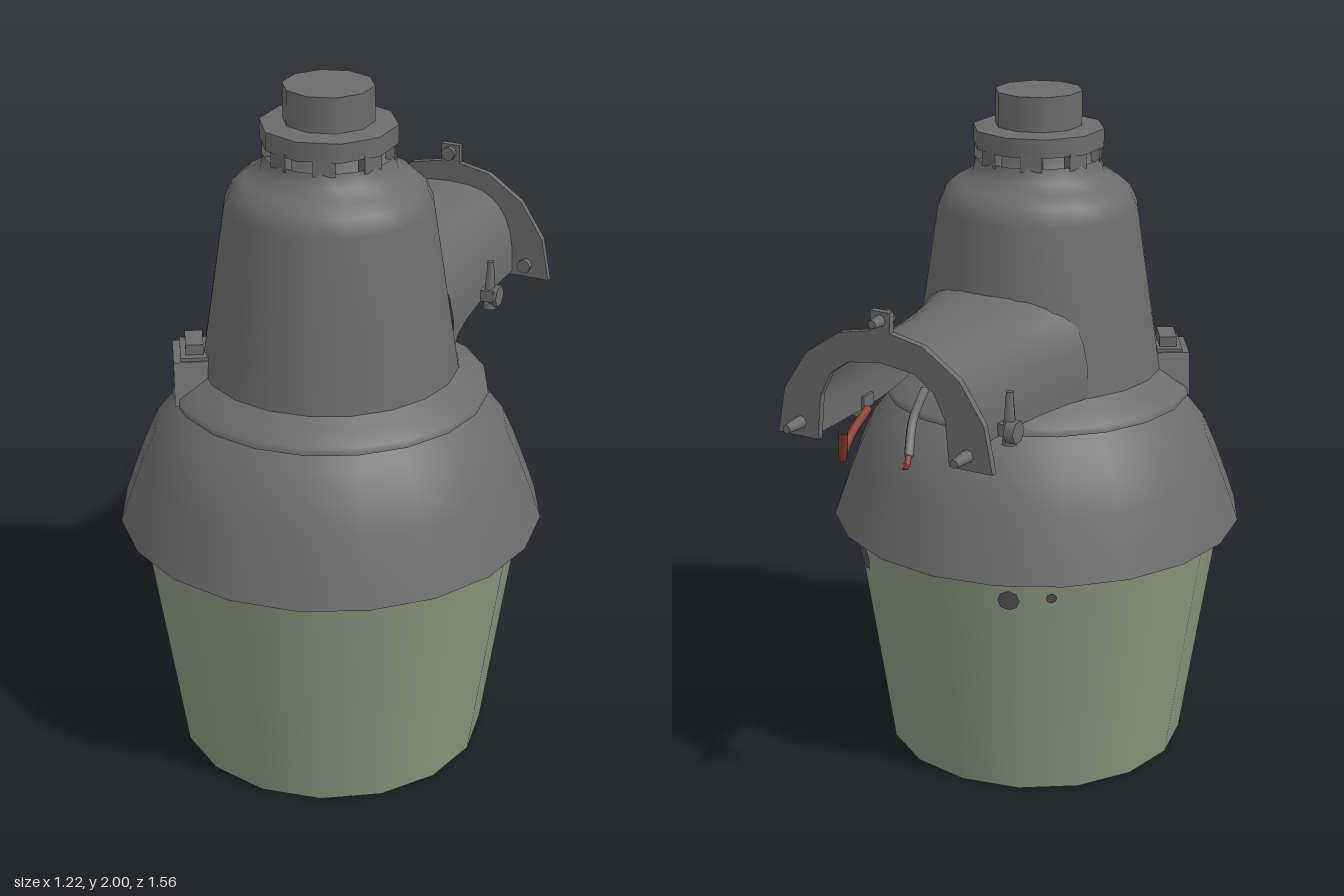
import * as THREE from 'three';
import { ParametricGeometry } from 'three/addons/geometries/ParametricGeometry.js';

const mat = (name, color, side = THREE.FrontSide) => {
  const m = new THREE.MeshStandardMaterial({ color, side });
  m.name = name;
  return m;
};

export function createModel() {
  const root = new THREE.Group();
  root.name = 'yardLight';
  const metal = mat('greyMetal', 0x6c6c6c, THREE.DoubleSide);
  const glass = mat('greenGlass', 0x8c987e, THREE.DoubleSide);
  const stain = mat('darkSpot', 0x505250, THREE.DoubleSide);
  const red = mat('redWire', 0x8a3d30);

  const add = (parent, name, geo, material, x = 0, y = 0, z = 0) => {
    const mesh = new THREE.Mesh(geo, material);
    mesh.name = name;
    mesh.position.set(x, y, z);
    parent.add(mesh);
    return mesh;
  };

  // Everything turned about the vertical lamp axis
  const lamp = new THREE.Group();
  lamp.name = 'lamp';
  lamp.position.z = 0.17;
  root.add(lamp);
  const turned = (name, pts, sides, material = metal) =>
    add(lamp, name, new THREE.LatheGeometry(pts.map(p => new THREE.Vector2(...p)), sides), material);

  turned('shade', [[0.45, 0.005], [0.503, 0.37], [0.557, 0.735]], 16, glass);
  turned('domeRim', [[0.545, 0.725], [0.61, 0.73]], 20);
  turned('dome', [[0.61, 0.73], [0.582, 0.81], [0.545, 0.91], [0.505, 1.0], [0.45, 1.07], [0.4, 1.12]], 20);
  turned('collarUnderside', [[0.38, 1.112], [0.45, 1.115]], 20);
  turned('collar', [[0.45, 1.115], [0.447, 1.135], [0.4, 1.165], [0.365, 1.19]], 20);
  turned('body', [[0.365, 1.185], [0.327, 1.43], [0.29, 1.67], [0.27, 1.715], [0.235, 1.745],
    [0.19, 1.77], [0.18, 1.81]], 20);
  turned('neck', [[0.18, 1.8], [0.15, 1.805], [0.15, 1.87]], 12);
  turned('capUnderside', [[0.14, 1.842], [0.19, 1.842]], 10);
  turned('cap', [[0.19, 1.842], [0.19, 1.895]], 10);
  turned('capTop', [[0.19, 1.895], [0.12, 1.902]], 10);
  turned('sensor', [[0.126, 1.89], [0.126, 2.0]], 10);
  turned('sensorTop', [[0.126, 2.0], [0, 2.0]], 10);

  // Teeth below the cap
  for (let i = 0; i < 8; i++) {
    const a = (i + 0.5) * Math.PI / 4;
    const t = add(lamp, 'capTooth', new THREE.BoxGeometry(0.06, 0.05, 0.025), metal,
      Math.sin(a) * 0.167, 1.825, Math.cos(a) * 0.167);
    t.rotation.y = a;
  }

  // Latch block on the collar
  const latch = new THREE.Group();
  latch.name = 'latch';
  latch.position.set(-0.325, 0, 0.2);
  latch.rotation.y = Math.atan2(-0.325, 0.2);
  lamp.add(latch);
  const wedge = new THREE.BoxGeometry(0.22, 0.12, 0.13);
  const wp = wedge.attributes.position;
  for (let i = 0; i < wp.count; i++) if (wp.getY(i) > 0) wp.setX(i, wp.getX(i) * 0.7);
  wedge.computeVertexNormals();
  add(latch, 'latchBase', wedge, metal, 0, 1.175, -0.005);
  add(latch, 'latchBlock', new THREE.BoxGeometry(0.145, 0.05, 0.08), metal, 0, 1.22, 0);
  add(latch, 'latchButton', new THREE.BoxGeometry(0.1, 0.04, 0.05), metal, 0, 1.255, 0);

  // Spots on the glass: angle from back towards +x, height, radius
  for (const [a, y, r] of [[0.69, 0.65, 0.047], [-0.36, 0.66, 0.032], [-0.58, 0.67, 0.016]]) {
    const rad = 0.45 + 0.107 * (y / 0.73) + 0.003;
    const s = add(lamp, 'glassSpot', new THREE.CircleGeometry(r, 8), stain,
      Math.sin(a) * rad, y, -Math.cos(a) * rad);
    s.rotation.order = 'YXZ';
    s.rotation.y = Math.PI - a;
    s.rotation.x = 0.146;
  }

  // Arched mounting arm, open below and flared where it meets the body
  const baseY = 1.19;
  const bow = t => Math.sign(t) * Math.pow(Math.abs(t), 0.72);
  add(root, 'arm', new ParametricGeometry((u, v, out) => {
    const a = Math.PI * u;
    const z = -0.05 - 0.61 * v;
    const flare = Math.pow(1 - v, 3);
    out.set((0.215 + 0.07 * flare) * bow(Math.cos(a)), baseY + (0.262 + 0.04 * flare) * bow(Math.sin(a)), z);
  }, 16, 6), metal);

  // Arched flange at the end of the arm
  const arch = new THREE.Shape();
  const ring = [];
  for (let i = 0; i <= 8; i++) {
    const a = Math.PI * i / 8;
    ring.push([0.335 * Math.cos(a), 1.18 + 0.34 * Math.sin(a)]);
  }
  for (let i = 8; i >= 0; i--) {
    const a = Math.PI * i / 8;
    ring.push([0.205 * bow(Math.cos(a)), 1.18 + 0.25 * bow(Math.sin(a))]);
  }
  ring.forEach(([x, y], i) => (i ? arch.lineTo(x, y) : arch.moveTo(x, y)));
  add(root, 'flange', new THREE.ExtrudeGeometry(arch, { depth: 0.02, bevelEnabled: false }),
    metal, 0, 0, -0.677);
  add(root, 'flangeLug', new THREE.BoxGeometry(0.06, 0.08, 0.02), metal, 0, 1.53, -0.667);

  // Studs through the flange
  const stud = (x, y, z, length) => {
    const m = add(root, 'flangeStud', new THREE.CylinderGeometry(0.012, 0.022, length, 8), metal, x, y, z);
    m.rotation.x = -Math.PI / 2;
  };
  stud(0, 1.545, -0.675, 0.08);
  for (const s of [-1, 1]) {
    stud(s * 0.26, 1.22, -0.69, 0.11);
    // Clamp screws on the arm sides
    add(root, 'clampTab', new THREE.BoxGeometry(0.05, 0.035, 0.05), metal, s * 0.235, 1.21, -0.42);
    add(root, 'clampScrew', new THREE.CylinderGeometry(0.01, 0.022, 0.15, 8), metal, s * 0.24, 1.24, -0.42);
    const nut = add(root, 'clampNut', new THREE.CylinderGeometry(0.033, 0.033, 0.03, 6), metal, s * 0.255, 1.205, -0.425);
    nut.rotation.z = Math.PI / 2;
  }

  // Loose wires hanging out of the arm
  const wire = (name, pts, r, material) => add(root, name, new THREE.TubeGeometry(
    new THREE.CatmullRomCurve3(pts.map(p => new THREE.Vector3(...p))), 12, r, 6), material);
  wire('redWire', [[0.16, 1.22, -0.5], [0.15, 1.18, -0.6], [0.13, 1.15, -0.67], [0.09, 1.17, -0.73], [0.06, 1.26, -0.77]], 0.013, red);
  wire('greyWire', [[-0.06, 1.33, -0.56], [-0.09, 1.28, -0.67], [-0.115, 1.21, -0.73]], 0.013, metal);
  wire('redWireTip', [[-0.115, 1.21, -0.73], [-0.12, 1.19, -0.75], [-0.12, 1.2, -0.775]], 0.009, red);

  return root;
}
